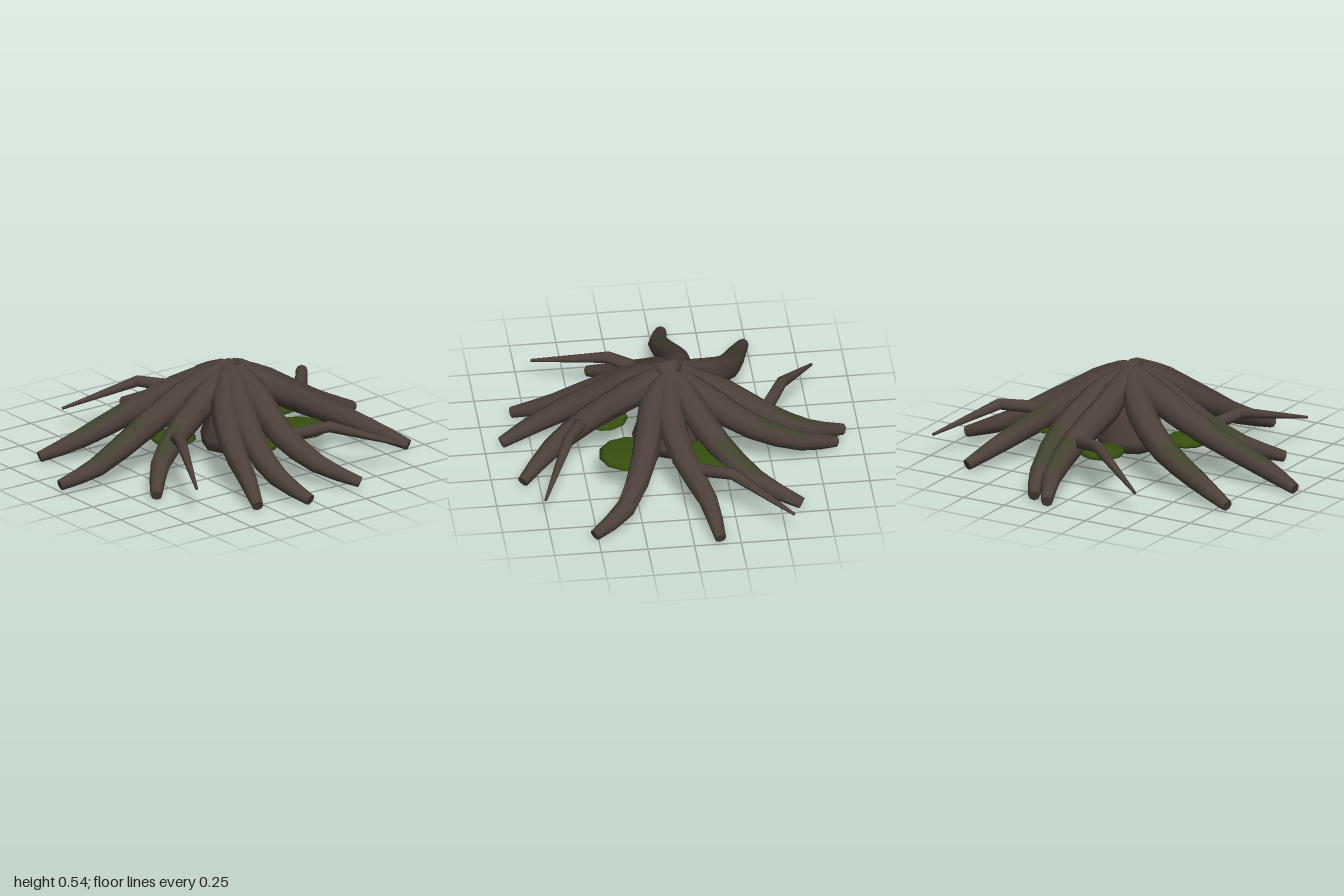
import * as THREE from 'three';
import { toCreasedNormals } from 'three/addons/utils/BufferGeometryUtils.js';

const SIDES = 8;
const CENTRE = new THREE.Vector2(0.07, 0.015);
const UP = new THREE.Vector3(0, 1, 0);

// Tapered, capped tube along a curve. Group 0 is bark, group 1 the mossy upper faces.
function taperedTube(points, radii, segments, mossy) {
  const curve = new THREE.CatmullRomCurve3(points);
  const positions = [], bark = [], moss = [];
  const rings = segments + 3; // first and last rings collapse to close the ends
  for (let i = 0; i < rings; i++) {
    const t = THREE.MathUtils.clamp(i - 1, 0, segments) / segments;
    const centre = curve.getPoint(t);
    const tangent = curve.getTangent(t);
    const side = new THREE.Vector3().crossVectors(tangent, UP).normalize();
    const normal = new THREE.Vector3().crossVectors(side, tangent);
    const f = t * (radii.length - 1);
    const n = Math.min(Math.floor(f), radii.length - 2);
    const capped = i === 0 || i === rings - 1;
    const r = capped ? 0 : THREE.MathUtils.lerp(radii[n], radii[n + 1], f - n);
    for (let j = 0; j < SIDES; j++) {
      const a = (j / SIDES) * Math.PI * 2;
      const p = centre.clone()
        .addScaledVector(normal, Math.cos(a) * r)
        .addScaledVector(side, Math.sin(a) * r);
      positions.push(p.x, p.y, p.z);
    }
  }
  for (let i = 0; i < rings - 1; i++) {
    const t = (i - 0.5) / segments;
    for (let j = 0; j < SIDES; j++) {
      const a = i * SIDES + j, b = i * SIDES + (j + 1) % SIDES;
      const c = b + SIDES, d = a + SIDES;
      const up = Math.cos(((j + 0.5) / SIDES) * Math.PI * 2);
      const list = mossy && t > 0.45 && t < 0.7 && up > 0.6 ? moss : bark;
      if (i > 0) list.push(a, b, c);
      if (i < rings - 2) list.push(a, c, d);
    }
  }
  const geometry = new THREE.BufferGeometry();
  geometry.setAttribute('position', new THREE.Float32BufferAttribute(positions, 3));
  geometry.setIndex([...bark, ...moss]);
  const result = toCreasedNormals(geometry, 0.9);
  result.clearGroups();
  result.addGroup(0, bark.length, 0);
  if (moss.length) result.addGroup(bark.length, moss.length, 1);
  return result;
}

export function createModel() {
  const model = new THREE.Group();
  model.name = 'rootCluster';
  const material = (name, color) => {
    const m = new THREE.MeshStandardMaterial({ color });
    m.name = name;
    return m;
  };
  const bark = material('bark', 0x4d403a);
  const mossyBark = material('mossyBark', 0x42442f);
  const moss = material('moss', 0x36500f);
  const add = (name, geometry, mat) => {
    const mesh = new THREE.Mesh(geometry, mat);
    mesh.name = name;
    model.add(mesh);
    return mesh;
  };

  // Rounded stump under the roots
  const stumpProfile = [[0, 0.065], [0.175, 0.07], [0.185, 0.13], [0.14, 0.27], [0.09, 0.44], [0, 0.49]];
  const stump = add('stump', new THREE.LatheGeometry(
    stumpProfile.map(([r, y]) => new THREE.Vector2(r, y)), 8), bark);
  stump.position.set(0.085, 0, 0.04);

  // Sweeping roots: x, z pairs from the crown to the tip; height falls with distance
  const roots = [
    { path: [0.06, -0.02, 0.07, -0.25, 0.13, -0.5, 0.12, -0.72, 0.04, -0.91], mossy: true },
    { path: [0.09, -0.02, 0.18, -0.18, 0.25, -0.40, 0.23, -0.66, 0.15, -0.86], mossy: true },
    { path: [0.10, 0.00, 0.25, -0.08, 0.43, -0.2, 0.60, -0.38, 0.71, -0.61], mossy: true },
    { path: [0.10, 0.02, 0.28, 0.05, 0.52, 0.0, 0.75, -0.10, 0.99, -0.14] },
    { path: [0.10, 0.04, 0.24, 0.13, 0.5, 0.21, 0.75, 0.34, 0.88, 0.52] },
    { path: [0.08, 0.07, 0.09, 0.22, 0.09, 0.46, 0.17, 0.67, 0.33, 0.84], lift: 0.025 },
    { path: [0.05, 0.07, -0.02, 0.22, -0.10, 0.48, -0.11, 0.7, -0.05, 0.91], lift: 0.025 },
    { path: [0.04, 0.05, -0.08, 0.19, -0.19, 0.38, -0.25, 0.6, -0.33, 0.82], lift: 0.01 },
    { path: [0.04, 0.03, -0.12, 0.06, -0.32, 0.10, -0.51, 0.19, -0.67, 0.37], mossy: true },
    { path: [0.03, 0.00, -0.18, -0.05, -0.45, -0.05, -0.78, -0.02, -0.99, -0.06], mossy: true },
    { path: [0.04, -0.02, -0.12, -0.2, -0.35, -0.34, -0.6, -0.41, -0.82, -0.48], mossy: true },
  ];
  roots.forEach(({ path, mossy, lift = 0 }, index) => {
    const flat = [];
    for (let i = 0; i < path.length; i += 2) flat.push(new THREE.Vector2(path[i], path[i + 1]));
    const reach = flat[4].distanceTo(CENTRE);
    const points = flat.map((p) => {
      const s = 1 - p.distanceTo(CENTRE) / reach;
      return new THREE.Vector3(p.x, 0.035 + 0.475 * s ** 1.2 + lift * s, p.y);
    });
    const radii = [0.052, 0.082, 0.074, 0.064, 0.051, 0.031];
    add(`root${index + 1}`, taperedTube(points, radii, 8, mossy), [bark, mossyBark]);
  });

  // Thin pointed side shoots that rise off a root, kink and fall
  const shoots = [
    [[0.08, 0.24, -0.5], [-0.09, 0.275, -0.6], [-0.44, 0.135, -0.8]],
    [[0.6, 0.22, -0.07], [0.73, 0.265, -0.24], [0.965, 0.14, -0.54]],
    [[0.14, 0.25, 0.51], [0.31, 0.28, 0.59], [0.68, 0.145, 0.76]],
    [[-0.38, 0.235, 0.15], [-0.45, 0.265, 0.29], [-0.63, 0.155, 0.68]],
  ];
  shoots.forEach((path, index) => {
    const points = path.map((p) => new THREE.Vector3(...p));
    add(`shoot${index + 1}`, taperedTube(points, [0.036, 0.032, 0.008], 2, false), [bark]);
  });

  // Flat moss pads between the roots: x, z, radius
  const pads = [
    [0, -0.4, 0.125], [0.43, -0.12, 0.175], [0.34, 0.27, 0.165],
    [-0.02, 0.36, 0.125], [-0.29, 0.0, 0.125],
  ];
  const padGeometry = new THREE.SphereGeometry(1, 11, 6);
  pads.forEach(([x, z, r], index) => {
    const pad = add(`mossPad${index + 1}`, padGeometry, moss);
    pad.position.set(x, 0.173, z);
    pad.scale.set(r, 0.028, r);
  });

  return model;
}
